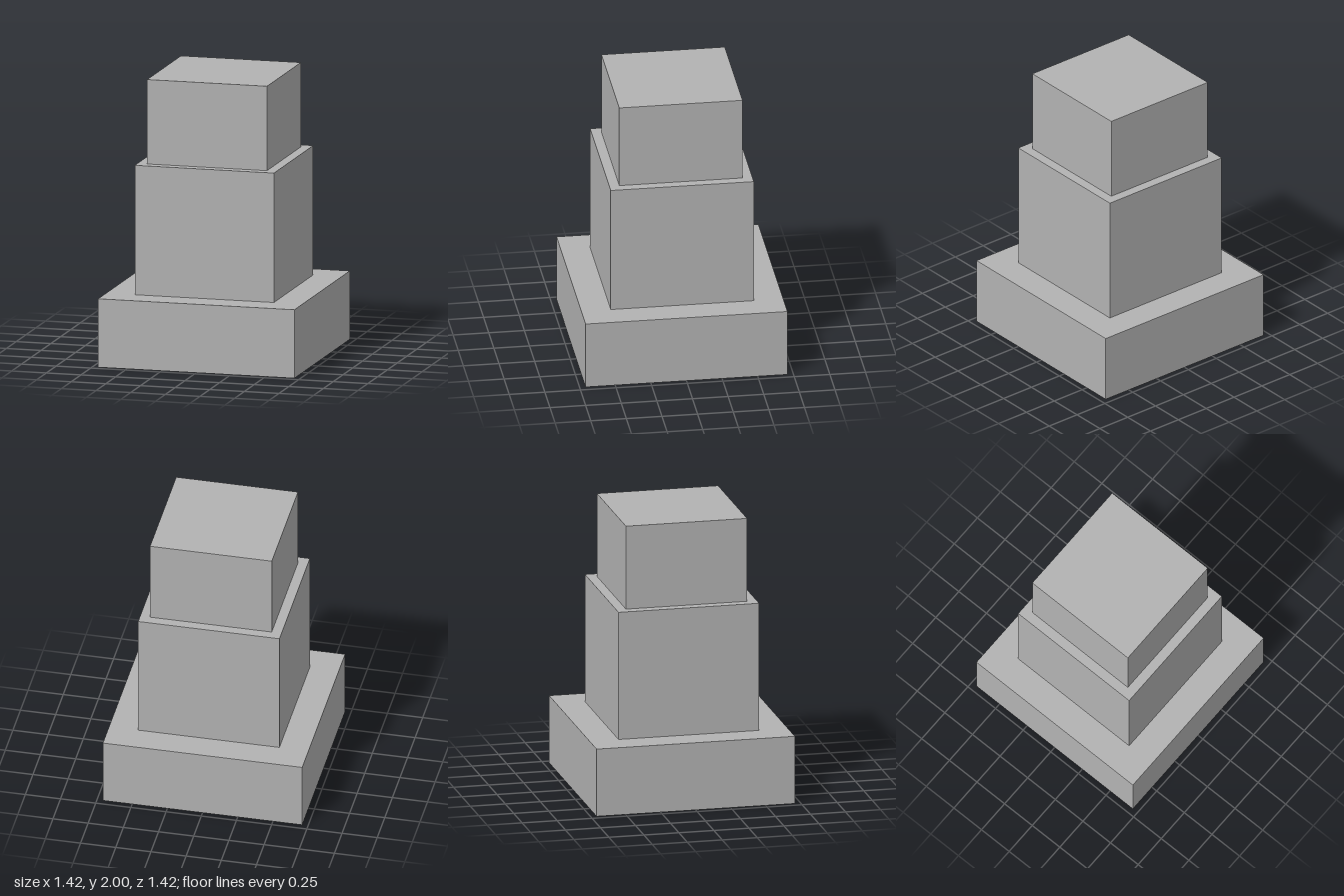
import * as THREE from 'three';

export function createModel() {
  const model = new THREE.Group();
  model.name = 'steppedPedestal';

  const stone = new THREE.MeshStandardMaterial({ color: 0xb2b2b2 });
  stone.name = 'grey stone';

  // Square tiers stacked from the ground up: name, width, bottom, top
  const tiers = [
    ['baseTier', 1.416, 0, 0.485],
    ['middleTier', 1.004, 0.485, 1.402],
    ['topTier', 0.865, 1.402, 2],
  ];
  for (const [name, width, bottom, top] of tiers) {
    const tier = new THREE.Mesh(new THREE.BoxGeometry(width, top - bottom, width), stone);
    tier.name = name;
    tier.position.y = (bottom + top) / 2;
    model.add(tier);
  }
  return model;
}
